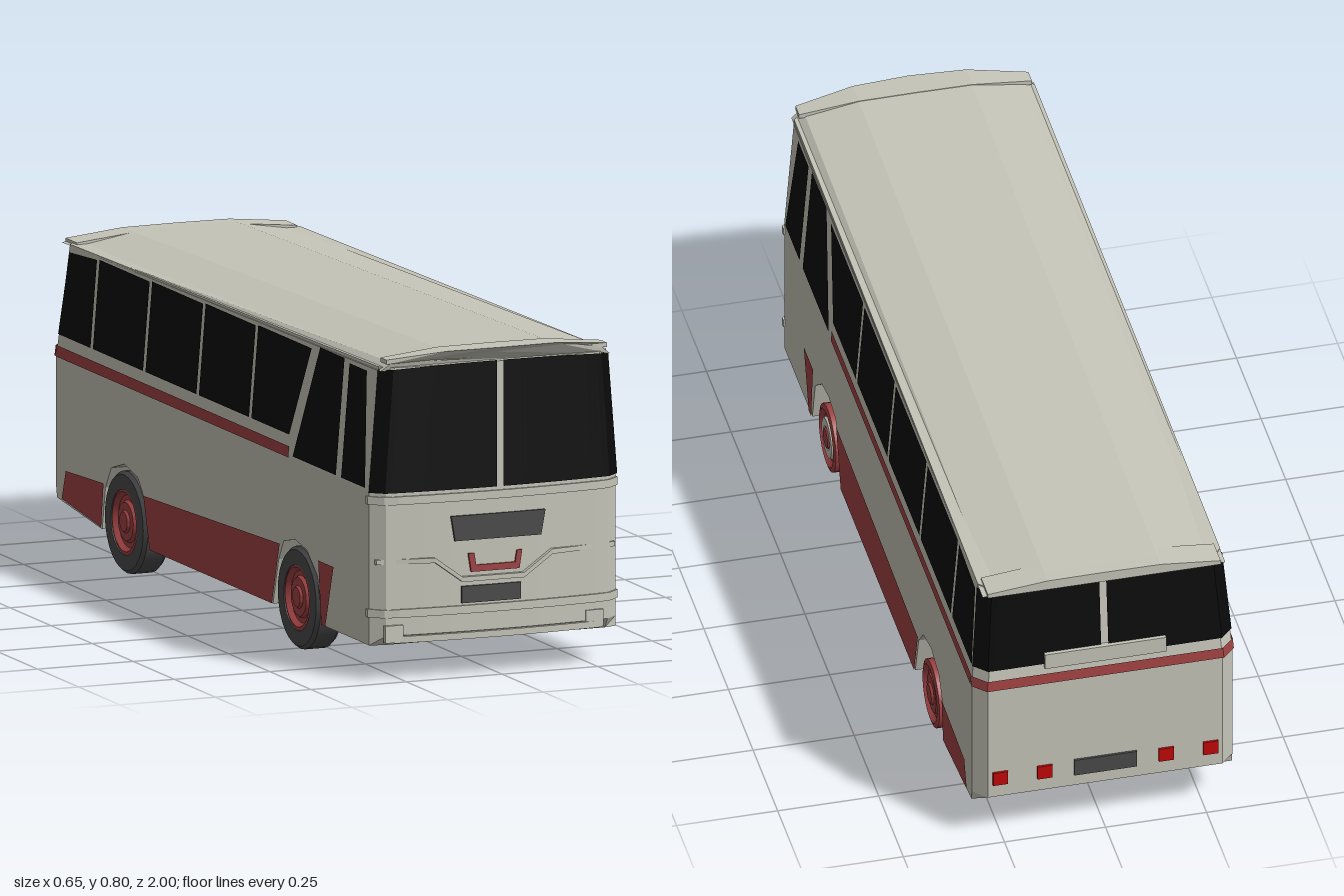
import * as THREE from 'three';
import { toCreasedNormals } from 'three/addons/utils/BufferGeometryUtils.js';

const mat = (name, color, side = THREE.FrontSide) => {
  const m = new THREE.MeshStandardMaterial({ color, side });
  m.name = name;
  return m;
};

const HALF = 0.322, SILL = 0.46;
// Body surface: side lean, bowed front and chamfered, raked rear
const lean = y => Math.max(0, y - SILL) / 0.3;
const sideX = y => HALF - 0.024 * lean(y);
const frontZ = x => {
  const a = Math.abs(x);
  return a < 0.29 ? 0.985 - 0.2 * a * a : 0.968 - (a - 0.29) * 0.87;
};
const rearZ = (x, y) => -0.998 + Math.max(0, Math.abs(x) - 0.29) * 1.03 + 0.035 * lean(y);

// Moves every vertex by a rule and rebuilds flat normals
function reshape(geo, rule) {
  const g = geo.index ? geo.toNonIndexed() : geo;
  const p = g.attributes.position, v = new THREE.Vector3();
  for (let i = 0; i < p.count; i++) {
    v.fromBufferAttribute(p, i);
    rule(v);
    p.setXYZ(i, v.x, v.y, v.z);
  }
  g.computeVertexNormals();
  return g;
}
const shapeOf = pts => new THREE.Shape(pts.map(([a, b]) => new THREE.Vector2(a, b)));

export function createModel() {
  const bus = new THREE.Group();
  bus.name = 'bus';
  const cream = mat('cream paint', 0xc6c5b9);
  const red = mat('red paint', 0xa04243, THREE.DoubleSide);
  const black = mat('black glass', 0x0a0a0a);
  const dark = mat('dark grey', 0x4a4a4a);
  const lamp = mat('lamp red', 0xc00808);
  const add = (name, geo, m, parent = bus) => {
    const mesh = new THREE.Mesh(geo, m);
    mesh.name = name;
    parent.add(mesh);
    return mesh;
  };

  // Lower body: side profile with open wheel arches, drawn out across the width
  const profile = [
    [0.99, SILL], [0.99, 0.11], [0.95, 0.085], [0.655, 0.085], [0.625, 0.2], [0.56, 0.252], [0.49, 0.265],
    [0.42, 0.25], [0.39, 0.2], [0.355, 0.085], [-0.39, 0.085], [-0.425, 0.2], [-0.47, 0.25], [-0.55, 0.268],
    [-0.63, 0.245], [-0.665, 0.19], [-0.685, 0.085], [-0.96, 0.115], [-1.01, 0.14], [-1.01, SILL],
  ];
  const lower = new THREE.ExtrudeGeometry(shapeOf(profile), { depth: HALF * 2, steps: 20, bevelEnabled: false });
  lower.rotateY(-Math.PI / 2).translate(HALF, 0, 0);
  add('lowerBody', reshape(lower, v => {
    v.z = Math.max(rearZ(v.x, v.y), Math.min(v.z, frontZ(v.x)));
  }), cream);

  // Upper body leaning in towards the roof
  add('upperBody', reshape(new THREE.BoxGeometry(HALF * 2, 1, 2, 20, 1, 1), v => {
    const front = v.z > 0;
    v.y = v.y < 0 ? SILL : front ? 0.765 : 0.737;
    v.z = front ? frontZ(v.x) : rearZ(v.x, v.y);
    v.x *= sideX(v.y) / HALF;
  }), cream);

  // Roof, sloping down to the rear
  const half = [[0.3, 0.757], [0.272, 0.778], [0.14, 0.8], [0, 0.801]];
  const section = [...half, ...half.slice(0, 3).reverse().map(([x, y]) => [-x, y])];
  const roof = new THREE.ExtrudeGeometry(shapeOf(section), { depth: 1.96, bevelEnabled: false });
  add('roof', reshape(roof.translate(0, 0, -0.985), v => {
    if (v.z > 0) v.z = 0.995 - 0.4 * v.x * v.x;
    v.y -= (v.y > 0.76 ? 0.022 : 0.012) * (1 - v.z);
  }), cream);
  // Peaks over the windscreen and the rear window
  const peak = [[-0.288, 0.774], [0.288, 0.774], [0.288, 0.785], [0.14, 0.8], [0, 0.801], [-0.14, 0.8], [-0.288, 0.785]];
  for (const [name, z0, drop] of [['frontPeak', 0.93, 0], ['rearPeak', -0.988, 0.043]]) {
    const g = new THREE.ExtrudeGeometry(shapeOf(peak), { depth: 0.07, bevelEnabled: false });
    add(name, reshape(g, v => {
      v.z += z0;
      if (v.z > 0.99) v.z = 1 - 0.4 * v.x * v.x;
      v.y -= drop;
    }), cream);
  }

  // Thin plates lying on both sides, given as [z, y] outlines
  const sidePlate = (name, pts, m) => {
    for (const s of [1, -1]) {
      const g = new THREE.ShapeGeometry(shapeOf(pts.map(([z, y]) => [-s * z, y]))).rotateY(s * Math.PI / 2);
      add(name, reshape(g, v => { v.x = s * (sideX(v.y) + 0.003); }), m);
    }
  };
  sidePlate('frontQuarterWindow', [[0.92, 0.467], [0.775, 0.467], [0.775, 0.745], [0.88, 0.745]], black);
  sidePlate('driverWindow', [[0.743, 0.467], [0.48, 0.467], [0.595, 0.752], [0.743, 0.752]], black);
  const windows = [
    [0.45, 0.545, 0.22, 0.22], [0.205, 0.205, -0.1, -0.1], [-0.115, -0.115, -0.425, -0.425],
    [-0.44, -0.44, -0.745, -0.745], [-0.76, -0.76, -0.957, -0.925],
  ];
  windows.forEach(([a, b, c, d], i) => {
    const top = 0.741 - 0.003 * i;
    sidePlate('sideWindow', [[a, 0.515], [c, 0.515], [d, top - (i === 4 ? 0.01 : 0)], [b, top]], black);
  });
  sidePlate('sideStripe', [[0.455, SILL], [-0.963, SILL], [-0.963, 0.487], [0.455, 0.487]], red);
  sidePlate('frontSkirt', [[0.73, 0.24], [0.637, 0.24], [0.655, 0.086], [0.68, 0.086]], red);
  sidePlate('middleSkirt', [[0.402, 0.24], [-0.428, 0.212], [-0.39, 0.086], [0.355, 0.086]], red);
  sidePlate('rearSkirt', [[-0.67, 0.2], [-0.9, 0.19], [-0.925, 0.118], [-0.685, 0.09]], red);

  // Panes following the front or rear face and wrapping round its corners
  const wrapPane = (name, end, x0, x1, y0, y1, m) => {
    const g = new THREE.PlaneGeometry(x1 - x0, y1 - y0, 20, 1).translate((x0 + x1) / 2, (y0 + y1) / 2, 0);
    if (end < 0) g.rotateY(Math.PI);
    add(name, reshape(g, v => {
      v.z = end > 0 ? frontZ(v.x) + 0.004 : rearZ(v.x, v.y) - 0.004;
      if (v.y > 0.75) v.y -= 0.09 * v.x * v.x;
      v.x *= (sideX(v.y) + 0.003) / HALF;
    }), m);
  };
  for (const [a, b] of [[-HALF, -0.009], [0.009, HALF]]) {
    wrapPane('windscreen', 1, a, b, 0.459, 0.768, black);
    wrapPane('rearWindow', -1, a, b, 0.515, 0.73, black);
  }
  wrapPane('rearStripe', -1, -HALF, HALF, SILL, 0.487, red);

  // Front: grilles, red trim, V-shaped rail and bars
  const frontPlate = (name, pts, m, z = 0.983, depth = 0.007) => add(name,
    new THREE.ExtrudeGeometry(shapeOf(pts), { depth, bevelEnabled: false }).translate(0, 0, z), m);
  frontPlate('upperGrille', [[-0.118, 0.333], [0.107, 0.333], [0.118, 0.394], [-0.128, 0.394]], dark);
  frontPlate('lowerGrille', [[-0.1, 0.18], [0.054, 0.18], [0.054, 0.221], [-0.1, 0.221]], dark);
  frontPlate('frontTrim', [[-0.076, 0.255], [0.05, 0.255], [0.057, 0.3], [0.044, 0.3], [0.039, 0.271],
    [-0.063, 0.271], [-0.068, 0.3], [-0.083, 0.3]], red);
  const railTop = [[-0.312, 0.296], [-0.17, 0.296], [-0.1, 0.245], [0.06, 0.245], [0.135, 0.296], [0.312, 0.296]];
  const rail = railTop.concat(railTop.map(([x, y]) => [x, y - 0.012]).reverse());
  add('frontRail', reshape(new THREE.ExtrudeGeometry(shapeOf(rail), { depth: 0.018, bevelEnabled: false }),
    v => { v.z += frontZ(v.x) - 0.006; }), cream);
  for (const [y, h, w] of [[0.44, 0.02, 0.327], [0.164, 0.02, 0.327], [0.1, 0.016, 0.27]]) {
    add('frontBar', reshape(new THREE.BoxGeometry(w * 2, h, 0.012, 20, 1, 1),
      v => { v.y += y; v.z += frontZ(v.x); }), cream);
  }
  for (const x of [-0.272, 0.252]) {
    add('bumperPanel', new THREE.BoxGeometry(0.046, 0.042, 0.012), cream).position.set(x, 0.115, 0.972);
  }

  // Rear: lamps, number plate and vent
  for (const x of [-0.26, -0.15, 0.15, 0.26]) {
    add('tailLamp', new THREE.BoxGeometry(0.037, 0.037, 0.009), lamp).position.set(x, 0.195, -0.999);
  }
  add('rearPlate', new THREE.BoxGeometry(0.155, 0.045, 0.009), dark).position.set(0, 0.195, -0.999);
  add('rearVent', new THREE.BoxGeometry(0.3, 0.042, 0.014), cream).position.set(0, 0.525, -0.995);

  // Wheels
  const lathe = pts => toCreasedNormals(
    new THREE.LatheGeometry(pts.map(([r, h]) => new THREE.Vector2(r, h)), 28), 0.5);
  const tyreGeo = lathe([[0.08, -0.035], [0.117, -0.035], [0.125, -0.026], [0.125, 0.026],
    [0.117, 0.035], [0.08, 0.035], [0.08, -0.035]]);
  const hubGeo = lathe([[0.085, -0.01], [0.085, 0.006], [0.073, 0.01], [0.064, -0.002], [0.052, -0.002],
    [0.047, 0.006], [0.028, 0.006], [0.024, 0.012], [0, 0.012]]);
  const ringGeo = lathe([[0.053, 0.003], [0.05, 0.009], [0.03, 0.009], [0.028, 0.005]]);
  const hub = (x, z, s, ringed) => {
    const g = new THREE.Group();
    g.name = 'hub';
    add('hubDisc', hubGeo, red, g);
    if (ringed) add('hubRing', ringGeo, cream, g);
    g.rotation.z = -s * Math.PI / 2;
    g.position.set(x, 0.128, z);
    bus.add(g);
  };
  const wheel = (x, z) => {
    const tyre = add('tyre', tyreGeo, dark);
    tyre.rotation.z = Math.PI / 2;
    tyre.position.set(x, 0.126, z);
    for (const s of [1, -1]) hub(x + s * 0.025, z, s, false);
  };
  const FRONT = 0.508, REAR = -0.545;
  wheel(-0.29, FRONT);
  hub(0.314, FRONT, 1, true);
  wheel(-0.29, REAR);
  hub(-0.185, REAR, 1, false);
  wheel(0.21, REAR);
  hub(0.314, REAR, 1, false);
  return bus;
}
